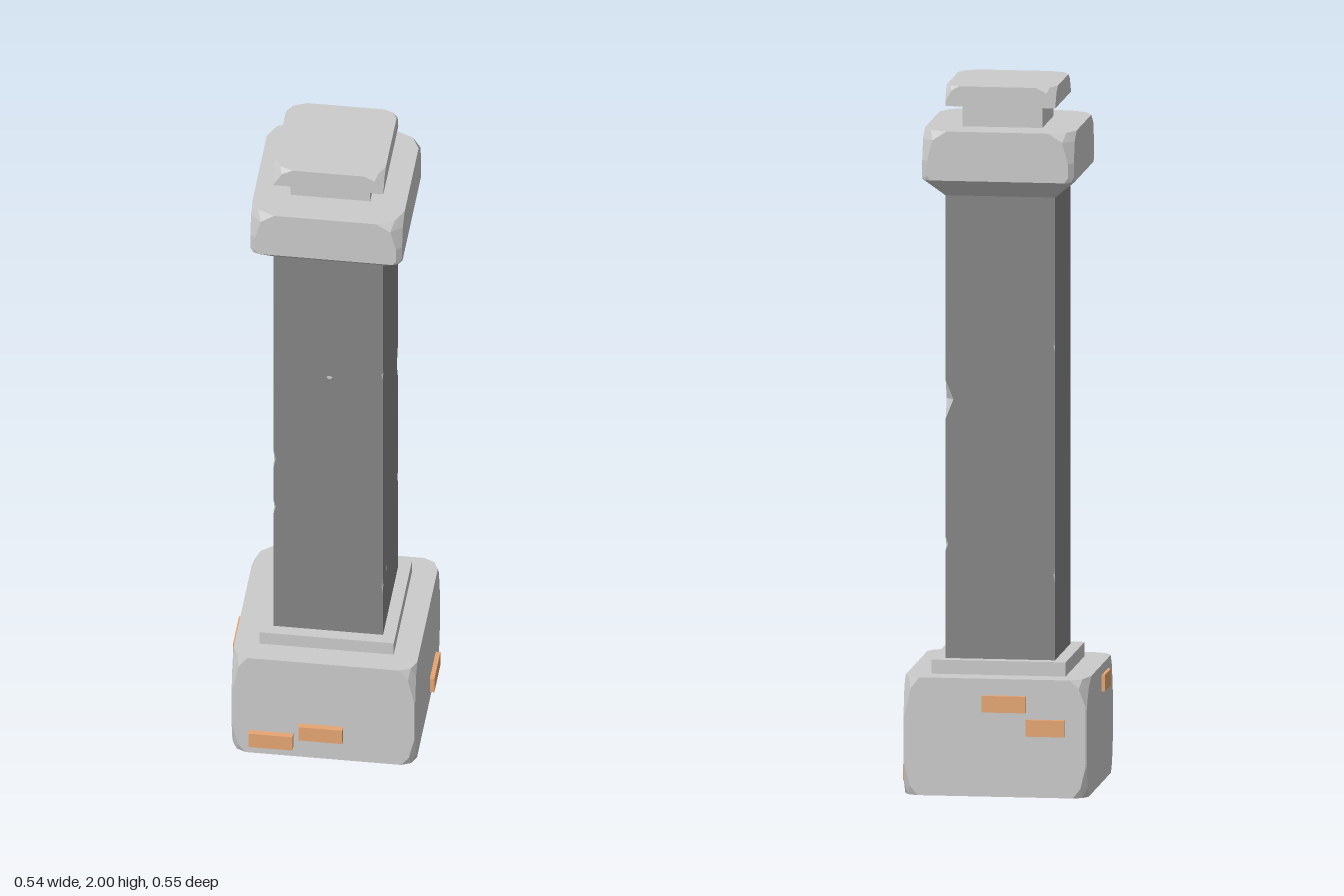
import * as THREE from 'three';
import { ConvexGeometry } from 'three/addons/geometries/ConvexGeometry.js';

const stone = new THREE.MeshStandardMaterial({ color: 0xcccccc, flatShading: true });
const darkStone = new THREE.MeshStandardMaterial({ color: 0x858585, flatShading: true });
const brick = new THREE.MeshStandardMaterial({ color: 0xe6a672 });

function add(parent, name, geometry, material, x = 0, y = 0, z = 0) {
  const mesh = new THREE.Mesh(geometry, material);
  mesh.name = name;
  mesh.position.set(x, y, z);
  parent.add(mesh);
  return mesh;
}

function box(parent, name, w, y0, y1, material) {
  return add(parent, name, new THREE.BoxGeometry(2 * w, y1 - y0, 2 * w), material, 0, (y0 + y1) / 2, 0);
}

// Square block (half width w) with chiselled corners.
// cut(sx, top, sz) gives [cut along x, cut along z, cut height], edge is the vertical bevel.
function chiselledBlock(w, y0, y1, edge, cut, extra = []) {
  const points = [...extra];
  for (const sx of [-1, 1]) for (const sz of [-1, 1]) for (const top of [true, false]) {
    const [ax, az, d] = cut(sx, top, sz);
    const put = (ix, iy, iz) =>
      points.push(new THREE.Vector3(sx * (w - ix), top ? y1 - iy : y0 + iy, sz * (w - iz)));
    if (!ax) { put(0, 0, 0); continue; }
    put(ax, 0, 0);
    put(ax * 0.32, 0, az * 0.32);
    put(0, 0, az);
    put(Math.max(edge, ax * 0.45), d * 0.3, 0);
    put(0, d * 0.3, Math.max(edge, az * 0.45));
    put(edge, d, 0);
    put(0, d, edge);
  }
  return new ConvexGeometry(points);
}

// Square shaft whose edges carry small chips: [sx, sz, height, half length, depth]
function chippedShaft(w, y0, y1, chips) {
  const corners = [[1, 1], [1, -1], [-1, -1], [-1, 1]];
  const levels = [y0, y1];
  for (const [, , y, l] of chips) levels.push(y - l, y, y + l);
  levels.sort((a, b) => a - b);
  const rings = levels.map(y => corners.flatMap(([sx, sz], i) => {
    let c = 0;
    for (const [cx, cz, cy, l, depth] of chips)
      if (cx === sx && cz === sz) c = Math.max(c, depth * (1 - Math.abs(y - cy) / l));
    const onZ = [sx * (w - c), y, sz * w], onX = [sx * w, y, sz * (w - c)];
    return i % 2 ? [onX, onZ] : [onZ, onX];
  }));
  const faces = [], bevels = [];
  for (let r = 0; r < rings.length - 1; r++) for (let i = 0; i < 8; i++) {
    const j = (i + 1) % 8;
    const a = rings[r][i], b = rings[r][j], c = rings[r + 1][j], d = rings[r + 1][i];
    (i % 2 ? faces : bevels).push(...a, ...b, ...c, ...a, ...c, ...d);
  }
  return [faces, bevels].map(list => {
    const g = new THREE.BufferGeometry();
    g.setAttribute('position', new THREE.Float32BufferAttribute(list, 3));
    g.computeVertexNormals();
    return g;
  });
}

export function createModel() {
  const model = new THREE.Group();
  model.name = 'stonePillar';

  const pillar = new THREE.Group();
  pillar.name = 'pillar';
  pillar.position.set(-0.003, 0, -0.003);
  model.add(pillar);

  // Base block, one back corner broken off more deeply
  add(pillar, 'baseBlock', chiselledBlock(0.26, 0, 0.335, 0.003, (sx, top, sz) => {
    if (top && sx < 0 && sz < 0) return [0.05, 0.095, 0.08];
    return top ? [0.045, 0.045, 0.11] : [0.04, 0.04, 0.09];
  }), stone);
  box(pillar, 'baseCollar', 0.19, 0.335, 0.375, stone);

  // Shaft with chipped edges
  const [faces, bevels] = chippedShaft(0.155, 0.375, 1.69, [
    [1, -1, 1.11, 0.055, 0.022], [1, -1, 0.7, 0.02, 0.007],
    [1, 1, 1.3, 0.02, 0.005], [1, 1, 0.55, 0.03, 0.005],
    [-1, 1, 0.97, 0.03, 0.006], [-1, 1, 0.8, 0.025, 0.006],
    [-1, -1, 1.27, 0.02, 0.005], [-1, -1, 0.62, 0.025, 0.005],
  ]);
  add(pillar, 'shaft', faces, darkStone);
  add(pillar, 'shaftEdgeChips', bevels, stone);

  // Small flakes on the shaft faces
  const flake = new THREE.CircleGeometry(0.014, 6).scale(1, 0.75, 1);
  add(pillar, 'frontFlake', flake, stone, 0.003, 1.275, 0.1555).scale.setScalar(0.6);
  add(pillar, 'sideFlake', flake, stone, 0.1555, 0.56, 0.085).rotation.y = Math.PI / 2;

  // Capital: chiselled block tapering down to the shaft
  const taper = [];
  for (const sx of [-1, 1]) for (const sz of [-1, 1])
    taper.push(new THREE.Vector3(sx * 0.156, 1.69, sz * 0.156));
  add(pillar, 'capital', chiselledBlock(0.215, 1.74, 1.88, 0.015,
    (sx, top) => top ? [0.07, 0.07, 0.085] : [0.025, 0.025, 0.045], taper), stone);

  // Neck and top cap
  box(pillar, 'neck', 0.113, 1.88, 1.945, stone);
  add(pillar, 'topCap', chiselledBlock(0.156, 1.943, 2, 0.002, (sx, top, sz) => {
    if (!top) return [0, 0, 0];
    return sx > 0 && sz < 0 ? [0.04, 0.035, 0.04] : [0.055, 0.052, 0.052];
  }), stone);

  // Bricks showing through the base: [name, x0, x1, y0, y1, z0, z1]
  const bricks = [
    ['frontBrickLow', -0.213, -0.088, 0.033, 0.08, 0.24, 0.275],
    ['frontBrickHigh', -0.071, 0.053, 0.071, 0.118, 0.24, 0.275],
    ['backBrickHigh', -0.091, 0.033, 0.241, 0.288, -0.277, -0.24],
    ['backBrickLow', -0.2, -0.091, 0.175, 0.222, -0.277, -0.24],
    ['leftSideBrick', 0.24, 0.27, 0.027, 0.074, -0.175, -0.05],
    ['rightSideBrick', -0.272, -0.24, 0.259, 0.306, 0.034, 0.158],
  ];
  for (const [name, x0, x1, y0, y1, z0, z1] of bricks)
    add(model, name, new THREE.BoxGeometry(x1 - x0, y1 - y0, z1 - z0), brick,
      (x0 + x1) / 2, (y0 + y1) / 2, (z0 + z1) / 2);

  return model;
}
